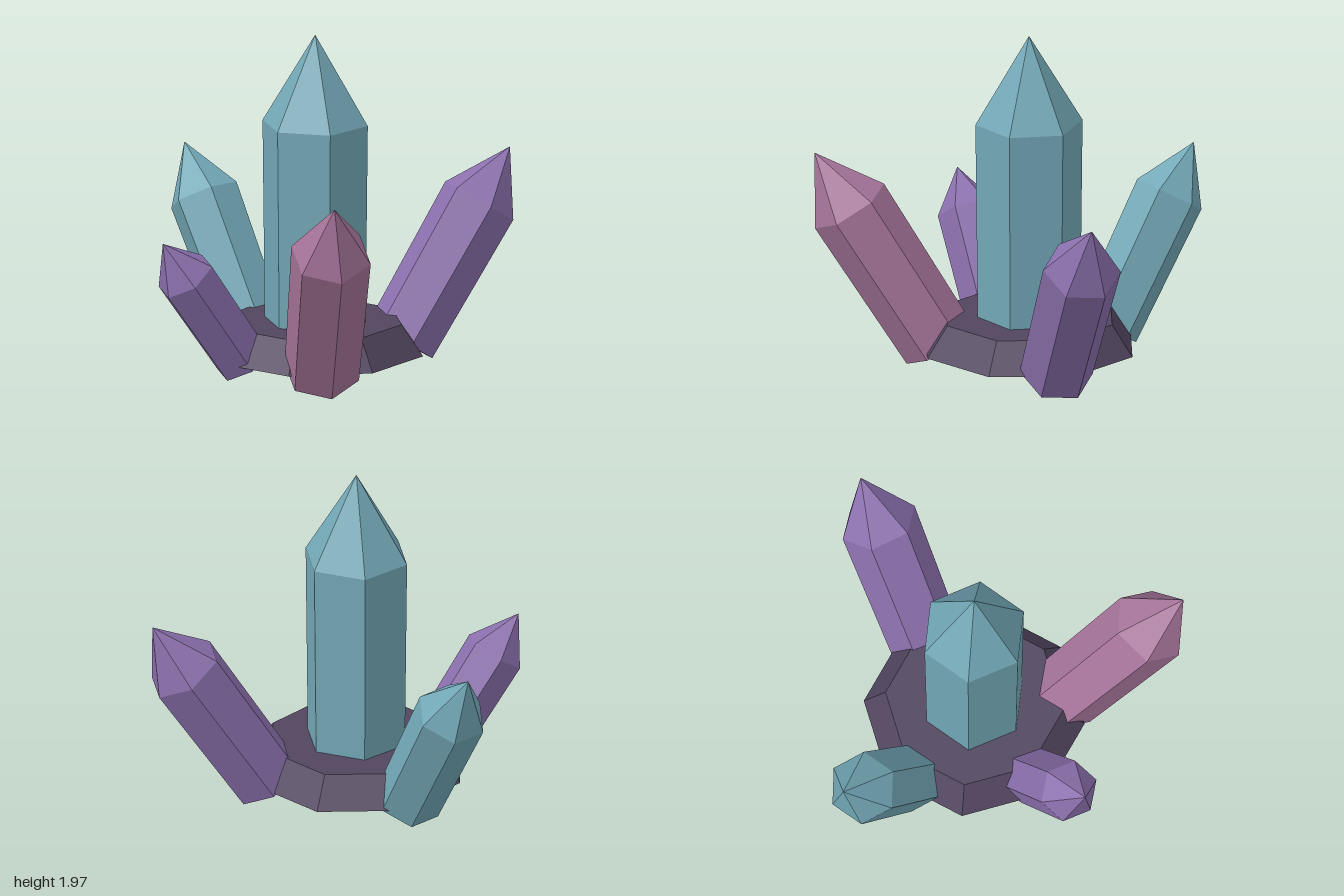
import * as THREE from 'three';

const flat = (name, color) => {
  const m = new THREE.MeshStandardMaterial({ color, flatShading: true });
  m.name = name;
  return m;
};

// Six-sided crystal running from the centre of its foot to its tip
function crystal(name, material, foot, tip, footRadius, shoulderRadius) {
  const start = new THREE.Vector3(...foot);
  const axis = new THREE.Vector3(...tip).sub(start);
  const length = axis.length();
  const profile = [
    [0, 0], [footRadius, 0], [shoulderRadius, length * 0.72], [0, length],
  ].map(([r, y]) => new THREE.Vector2(r, y));
  const geometry = new THREE.LatheGeometry(profile, 6, Math.PI / 2).toNonIndexed();
  geometry.computeVertexNormals();
  const mesh = new THREE.Mesh(geometry, material);
  mesh.name = name;
  mesh.position.copy(start);
  mesh.quaternion.setFromUnitVectors(new THREE.Vector3(0, 1, 0), axis.normalize());
  return mesh;
}

export function createModel() {
  const group = new THREE.Group();
  group.name = 'crystalCluster';
  const teal = flat('teal', 0x73a8b7);
  const purple = flat('purple', 0x8b70ad);
  const pink = flat('pink', 0xa8769c);
  const rock = flat('dark rock', 0x524660);

  // Eight-sided rock base
  const base = new THREE.Mesh(new THREE.CylinderGeometry(0.51, 0.635, 0.18, 8), rock);
  base.name = 'rockBase';
  base.position.set(-0.02, 0.21, -0.16);
  group.add(base);

  // Upright centre crystal and four leaning ones around it
  group.add(
    crystal('centreCrystal', teal, [-0.02, 0.121, -0.16], [-0.02, 1.98, -0.16], 0.295, 0.31),
    crystal('frontCrystal', pink, [0.14, 0.12, 0.33], [0.38, 1.26, 1.0], 0.22, 0.235),
    crystal('backLeftCrystal', purple, [0.4, 0.12, -0.49], [0.94, 1.19, -0.92], 0.213, 0.227),
    crystal('backRightCrystal', teal, [-0.455, 0.12, -0.465], [-0.95, 1.13, -0.81], 0.193, 0.208),
    crystal('frontRightCrystal', purple, [-0.36, 0.12, 0.18], [-0.74, 0.88, 0.56], 0.167, 0.177),
  );
  return group;
}
